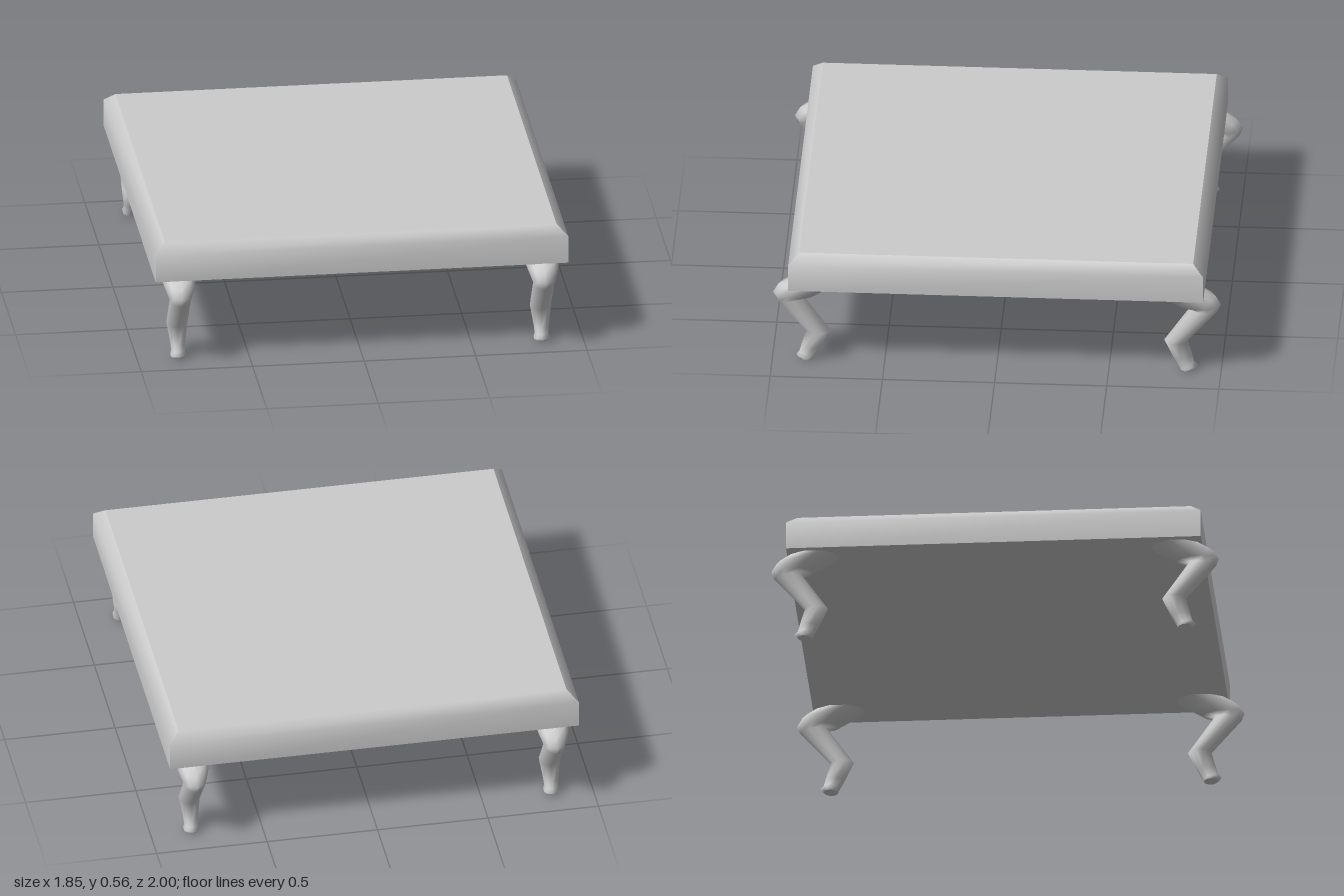
import * as THREE from 'three';

const material = new THREE.MeshStandardMaterial({ color: 0xcccccc });

function geometryFrom(positions, indices) {
  const g = new THREE.BufferGeometry();
  g.setAttribute('position', new THREE.Float32BufferAttribute(positions, 3));
  g.setIndex(indices);
  g.computeVertexNormals();
  return g;
}

function addMesh(parent, name, geometry) {
  const mesh = new THREE.Mesh(geometry, material);
  mesh.name = name;
  parent.add(mesh);
  return mesh;
}

// One side of the top: a vertical face rolling smoothly into the bevel
const HALF = 0.925, INSET = 0.878, BASE = 0.395, TOP = 0.565;
function sideGeometry() {
  const profile = [[HALF, BASE], [HALF, 0.522], [INSET, TOP]];
  const positions = [], indices = [];
  profile.forEach(([r, y], i) => {
    positions.push(-r, y, r, r, y, r);
    if (i > 0) {
      const a = 2 * (i - 1);
      indices.push(a, a + 1, a + 3, a, a + 3, a + 2);
    }
  });
  return geometryFrom(positions, indices);
}

// Leg cross-sections, top to foot: outer z, outer y, inner z, inner y, half width
const LEG_X = 0.815;
const sections = [
  [0.925, 0.397, 0.69, 0.397, 0.085],
  [0.975, 0.37, 0.765, 0.35, 0.072],
  [0.998, 0.33, 0.81, 0.322, 0.057],
  [0.985, 0.295, 0.862, 0.314, 0.047],
  [0.85, 0.143, 0.745, 0.143, 0.047],
  [0.872, 0.065, 0.785, 0.058, 0.034],
  [0.88, 0.035, 0.802, 0.026, 0.031],
  [0.895, 0.018, 0.808, 0.014, 0.037],
  [0.88, 0.004, 0.815, 0, 0.034],
];

function legGeometry(sides = 10) {
  const positions = [], indices = [];
  const pushRing = ([oz, oy, iz, iy, hx]) => {
    for (let s = 0; s < sides; s++) {
      const a = (s / sides) * Math.PI * 2, t = (1 + Math.cos(a)) / 2;
      positions.push(hx * Math.sin(a), iy + (oy - iy) * t, iz + (oz - iz) * t);
    }
  };
  sections.forEach((section, i) => {
    pushRing(section);
    if (i === 0) return;
    for (let s = 0; s < sides; s++) {
      const n = (s + 1) % sides, up = (i - 1) * sides, low = i * sides;
      indices.push(up + s, low + s, up + n, up + n, low + s, low + n);
    }
  });
  // Flat sole with its own vertices to keep the rim sharp
  const first = sections.length * sides;
  pushRing(sections[sections.length - 1]);
  for (let s = 1; s < sides - 1; s++) indices.push(first, first + s + 1, first + s);
  return geometryFrom(positions, indices);
}

export function createModel() {
  const model = new THREE.Group();
  model.name = 'lowTable';

  // Bevelled slab
  const slab = new THREE.Group();
  slab.name = 'tableTop';
  model.add(slab);
  const side = sideGeometry();
  ['front', 'left', 'back', 'right'].forEach((name, i) => {
    addMesh(slab, name + 'Side', side).rotation.y = (i * Math.PI) / 2;
  });
  const upper = new THREE.PlaneGeometry(2 * INSET, 2 * INSET).rotateX(-Math.PI / 2);
  addMesh(slab, 'topSurface', upper).position.y = TOP;
  const under = new THREE.PlaneGeometry(2 * HALF, 2 * HALF).rotateX(Math.PI / 2);
  addMesh(slab, 'underside', under).position.y = BASE;

  // Curved legs, knees pointing out to the front and back
  const leg = legGeometry();
  for (const front of [true, false]) {
    for (const left of [true, false]) {
      const mesh = addMesh(model, (front ? 'front' : 'back') + (left ? 'Left' : 'Right') + 'Leg', leg);
      mesh.position.x = left ? LEG_X : -LEG_X;
      mesh.rotation.y = front ? 0 : Math.PI;
    }
  }
  return model;
}
